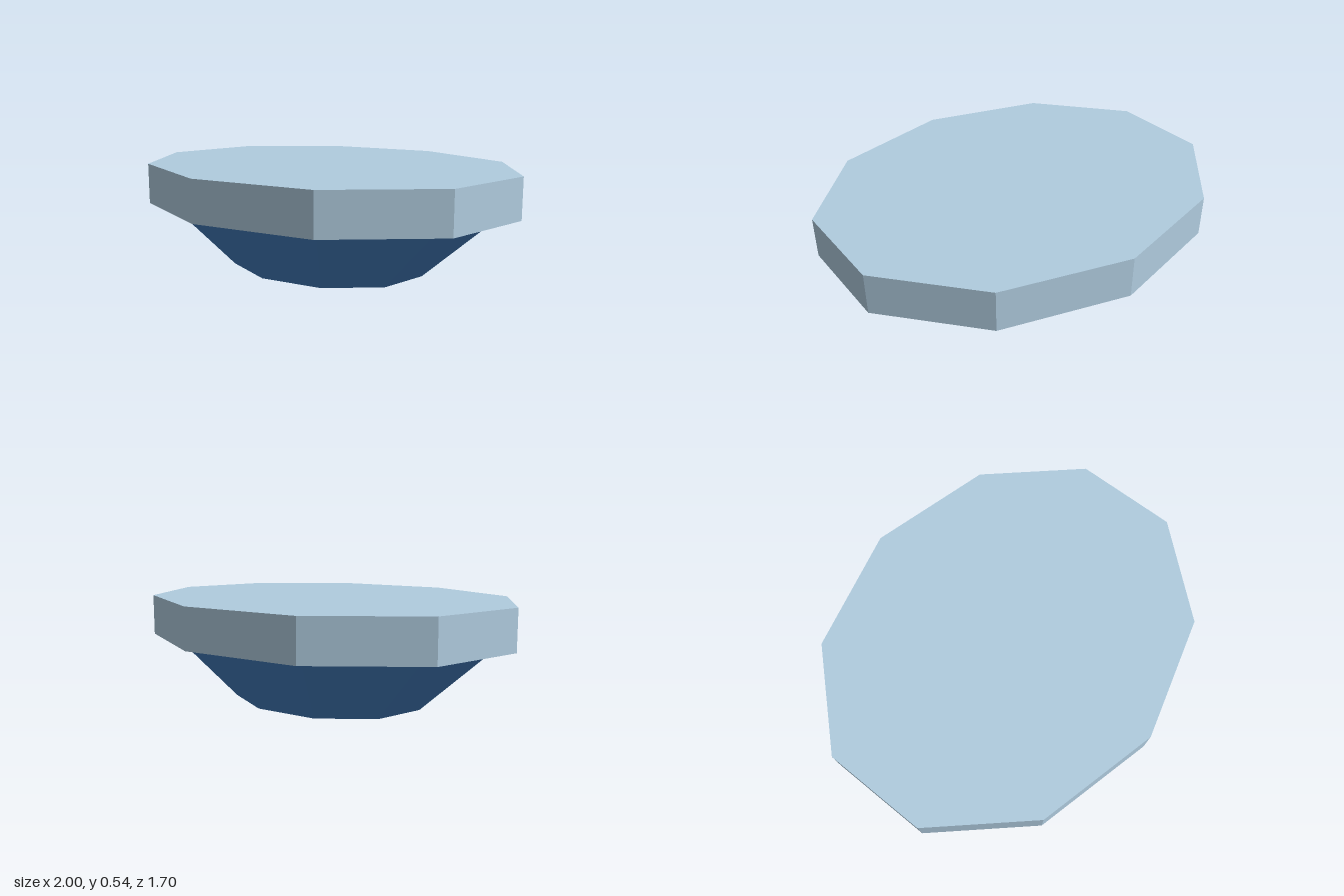
import * as THREE from 'three';

export function createModel() {
  const model = new THREE.Group();
  const paleBlue = new THREE.MeshStandardMaterial({ color: 0xb0ccdf, flatShading: true });
  paleBlue.name = 'paleBlue';
  const deepBlue = new THREE.MeshStandardMaterial({ color: 0x4580c2, flatShading: true });
  deepBlue.name = 'deepBlue';

  const SIDES = 10;
  const RADIUS = 1 / Math.cos(Math.PI / SIDES); // corner radius for a half width of 1
  const DEPTH = 0.85 / RADIUS; // squash to an oval in z

  // Ten-sided oval layer; top and bottom are fractions of the full outline
  function addLayer(name, top, bottom, y0, y1, material) {
    const geometry = new THREE.CylinderGeometry(RADIUS * top, RADIUS * bottom, y1 - y0, SIDES);
    geometry.scale(1, 1, DEPTH);
    geometry.translate(0, (y0 + y1) / 2, 0);
    const mesh = new THREE.Mesh(geometry, material);
    mesh.name = name;
    model.add(mesh);
  }

  // Tapered base under a flat, overhanging slab
  addLayer('taperedBase', 0.893, 0.53, 0, 0.33, deepBlue);
  addLayer('topSlab', 1, 1, 0.33, 0.535, paleBlue);

  return model;
}
